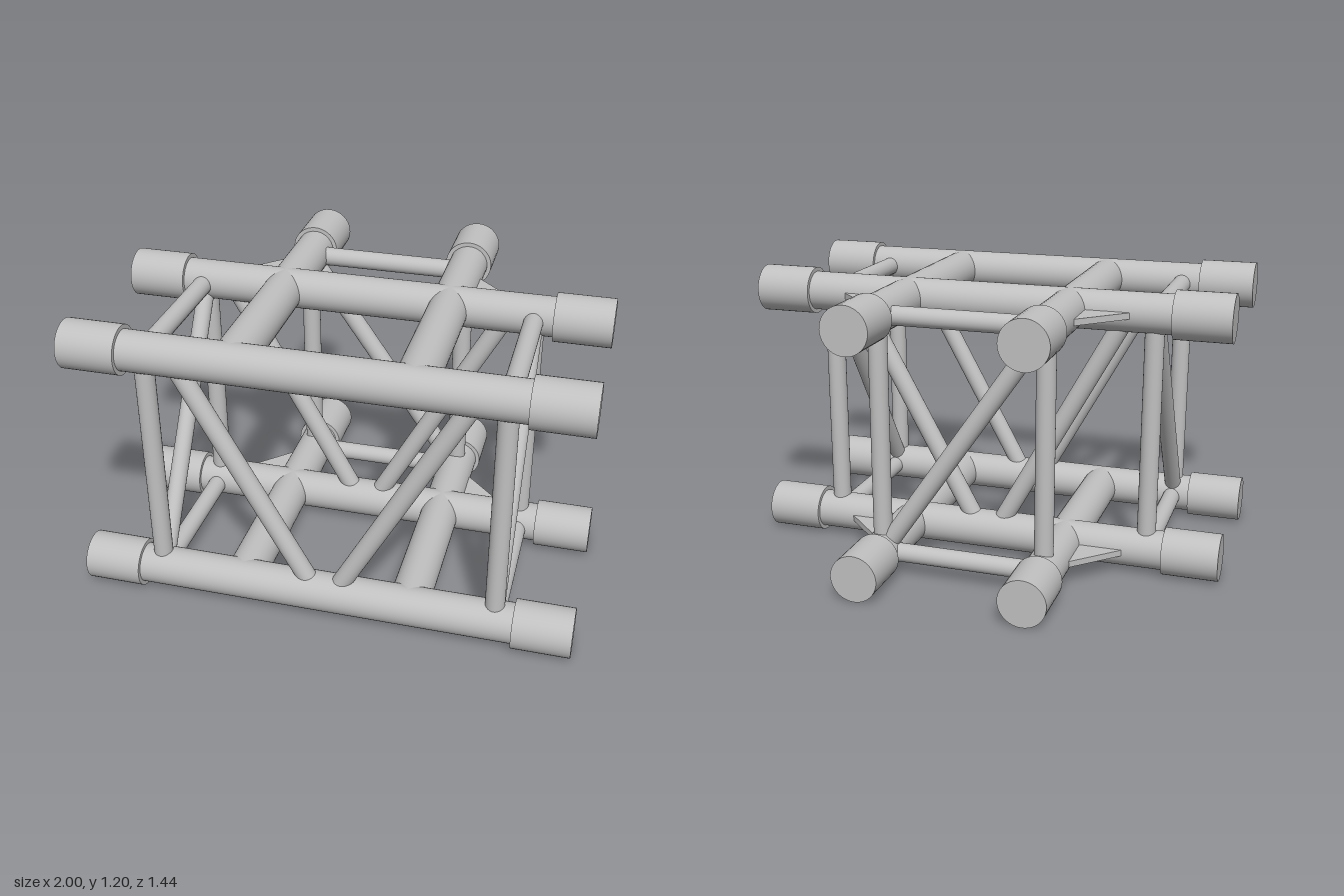
import * as THREE from 'three';

export function createModel() {
  const model = new THREE.Group();
  model.name = 'trussCorner';
  const metal = new THREE.MeshStandardMaterial({ color: 0xc0c0c0 });
  metal.name = 'aluminium grey';

  const CHORD = 0.081, SOCKET = 0.098, BRACE = 0.039;
  const LOW = 0.098, HIGH = 1.098, FRONT = 0.62, MID = -0.066, REAR = -0.41;
  const CROSS_X = 0.345, SIDE_X = 0.69, END_Z = -0.718;

  // Round bar between two points
  function bar(name, a, b, radius) {
    const from = new THREE.Vector3(...a), to = new THREE.Vector3(...b);
    const dir = to.clone().sub(from);
    const mesh = new THREE.Mesh(new THREE.CylinderGeometry(radius, radius, dir.length(), 40), metal);
    mesh.position.copy(from).add(to).multiplyScalar(0.5);
    mesh.quaternion.setFromUnitVectors(new THREE.Vector3(0, 1, 0), dir.normalize());
    mesh.name = name;
    model.add(mesh);
  }

  // Triangular stiffening plate in the outer corner of a crossing
  function gusset(side, y) {
    const shape = new THREE.Shape();
    shape.moveTo(0.36, 0.09);
    shape.lineTo(0.66, 0.09);
    shape.lineTo(0.36, 0.385);
    shape.closePath();
    const geometry = new THREE.ExtrudeGeometry(shape, { depth: 0.026, bevelEnabled: false });
    geometry.translate(0, 0, -0.013);
    const mesh = new THREE.Mesh(geometry, metal);
    mesh.rotation.set(-Math.PI / 2, 0, 0);
    if (side < 0) {
      // turned over about the z axis to mirror the symmetric plate
      mesh.rotation.set(Math.PI / 2, Math.PI, 0, 'XYZ');
      mesh.quaternion.setFromAxisAngle(new THREE.Vector3(0, 0, 1), Math.PI)
        .multiply(new THREE.Quaternion().setFromAxisAngle(new THREE.Vector3(1, 0, 0), -Math.PI / 2));
    }
    mesh.position.y = y;
    mesh.name = 'gusset';
    model.add(mesh);
  }

  for (const y of [LOW, HIGH]) {
    // Long chords with end sockets
    for (const z of [FRONT, MID]) {
      bar('chord', [-0.98, y, z], [0.98, y, z], CHORD);
      for (const s of [-1, 1]) bar('chordSocket', [s * 0.768, y, z], [s, y, z], SOCKET);
    }
    // Cross chords, side rungs and corner plates
    for (const s of [-1, 1]) {
      bar('crossChord', [s * CROSS_X, y, FRONT], [s * CROSS_X, y, -0.7], CHORD);
      bar('crossSocket', [s * CROSS_X, y, -0.488], [s * CROSS_X, y, END_Z], SOCKET);
      bar('sideRung', [s * SIDE_X, y, FRONT], [s * SIDE_X, y, MID], BRACE);
      gusset(s, y);
    }
    bar('rearRung', [-CROSS_X, y, REAR - 0.008], [CROSS_X, y, REAR - 0.008], BRACE);
  }

  for (const s of [-1, 1]) {
    // Posts and V bracing of the two long faces
    for (const z of [FRONT, MID]) {
      bar('post', [s * SIDE_X, LOW, z], [s * SIDE_X, HIGH, z], BRACE);
      bar('faceDiagonal', [s * 0.557, 1.045, z], [s * 0.066, 0.15, z], BRACE);
    }
    // Slanted brace of each side and rear posts
    bar('sideDiagonal', [s * SIDE_X, 0.14, 0.59], [s * SIDE_X, 1.06, -0.028], 0.036);
    bar('rearPost', [s * CROSS_X, LOW, REAR], [s * CROSS_X, HIGH, REAR], BRACE);
  }
  bar('rearDiagonal', [-0.315, 1.055, REAR], [0.315, 0.14, REAR], BRACE);

  return model;
}
